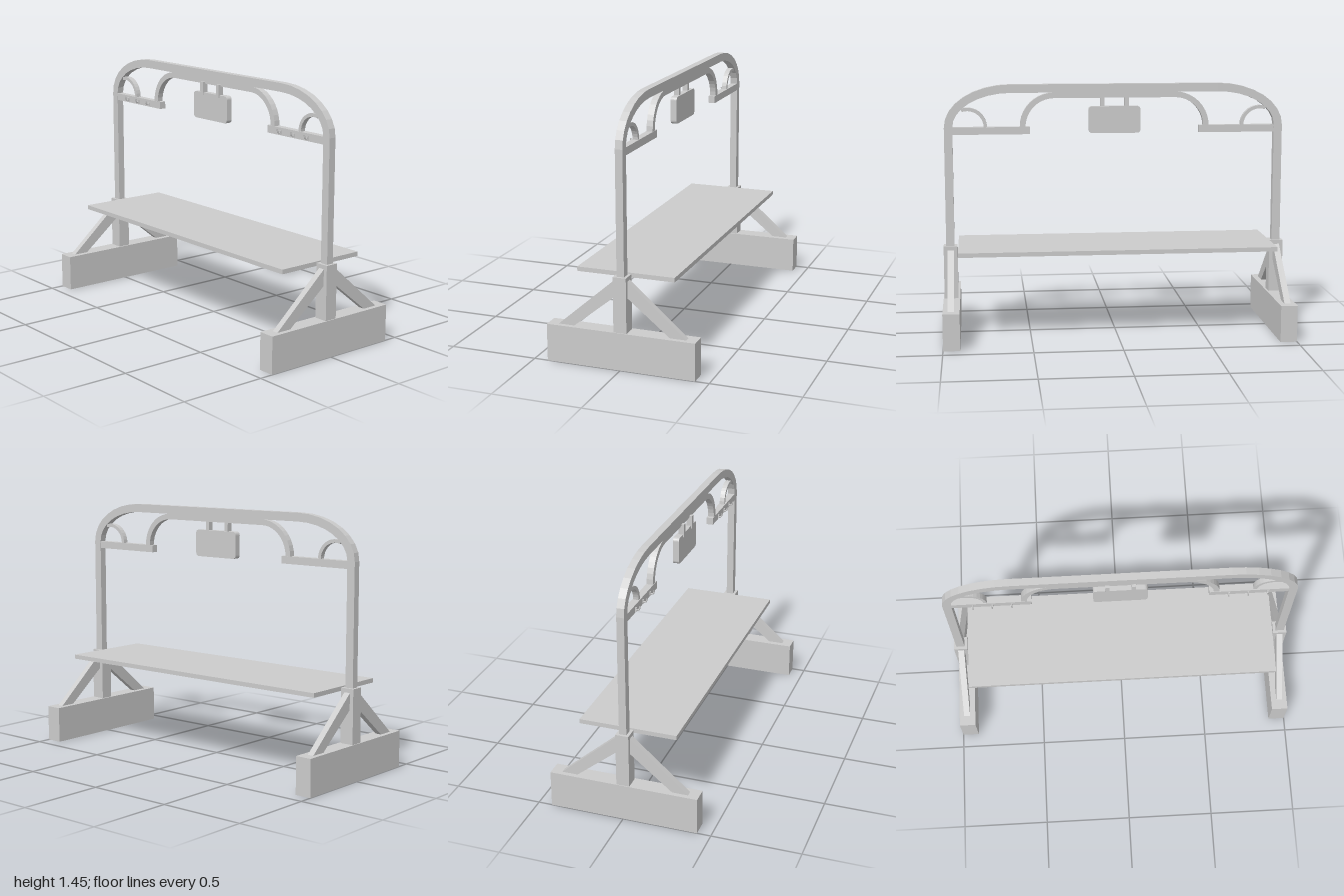
import * as THREE from 'three';

const mat = new THREE.MeshStandardMaterial({ color: 0xcccccc });
const matOpen = new THREE.MeshStandardMaterial({ color: 0xcccccc, side: THREE.DoubleSide });

export function createModel() {
  const model = new THREE.Group();

  const add = (name, geometry, material = mat) => {
    const mesh = new THREE.Mesh(geometry, material);
    mesh.name = name;
    model.add(mesh);
    return mesh;
  };

  // box given by its limits on each axis
  const box = (x0, x1, y0, y1, z0, z1) =>
    new THREE.BoxGeometry(x1 - x0, y1 - y0, z1 - z0)
      .translate((x0 + x1) / 2, (y0 + y1) / 2, (z0 + z1) / 2);

  // flat outline with thickness, centred on its plane
  const slab = (shape, depth, curveSegments = 4) =>
    new THREE.ExtrudeGeometry(shape, { depth, bevelEnabled: false, curveSegments })
      .translate(0, 0, -depth / 2);

  // curved strip between two radii; side mirrors it across x
  const arcStrip = (side, cx, cy, rOut, rIn, a0, a1, steps = 10) => {
    const outer = [], inner = [];
    for (let i = 0; i <= steps; i++) {
      const a = a0 + (a1 - a0) * i / steps;
      const at = (r) => new THREE.Vector2(side * (cx + r * Math.cos(a)), cy + r * Math.sin(a));
      outer.push(at(rOut));
      inner.unshift(at(rIn));
    }
    return new THREE.Shape([...outer, ...inner]);
  };

  // table top
  add('tableTop', box(-0.91, 0.91, 0.497, 0.522, -0.277, 0.277));

  // overhead frame: two uprights joined by a top rail with elliptical corners
  const frame = new THREE.Shape();
  frame.moveTo(0.98, 0.515);
  frame.lineTo(0.98, 1.2);
  frame.absellipse(0.6, 1.2, 0.38, 0.245, 0, Math.PI / 2, false);
  frame.lineTo(-0.6, 1.445);
  frame.absellipse(-0.6, 1.2, 0.38, 0.245, Math.PI / 2, Math.PI, false);
  frame.lineTo(-0.98, 0.515);
  frame.lineTo(-0.932, 0.515);
  frame.lineTo(-0.932, 1.2);
  frame.absellipse(-0.6, 1.2, 0.332, 0.197, Math.PI, Math.PI / 2, true);
  frame.lineTo(0.6, 1.397);
  frame.absellipse(0.6, 1.2, 0.332, 0.197, Math.PI / 2, 0, true);
  frame.lineTo(0.932, 0.515);
  add('overheadFrame', slab(frame, 0.042));

  // second rail under the top rail
  add('lowerRail', box(-0.35, 0.35, 1.365, 1.398, -0.018, 0.018));

  // hanging board with rounded corners
  const [w, y0, y1, r] = [0.15, 1.16, 1.315, 0.02];
  const board = new THREE.Shape();
  board.absarc(w - r, y0 + r, r, -Math.PI / 2, 0);
  board.absarc(w - r, y1 - r, r, 0, Math.PI / 2);
  board.absarc(-w + r, y1 - r, r, Math.PI / 2, Math.PI);
  board.absarc(-w + r, y0 + r, r, Math.PI, Math.PI * 1.5);
  add('hangingBoard', slab(board, 0.036, 3)).position.z = 0.009;

  // brace outline in the z-y plane
  const brace = new THREE.Shape([
    new THREE.Vector2(0.365, 0.208), new THREE.Vector2(0.275, 0.208),
    new THREE.Vector2(0.03, 0.406), new THREE.Vector2(0.03, 0.5),
  ]);

  // small upturned hook
  const hookPath = new THREE.CatmullRomCurve3([
    new THREE.Vector3(0, 1.178, 0.02), new THREE.Vector3(0, 1.174, 0.033),
    new THREE.Vector3(0, 1.18, 0.041), new THREE.Vector3(0, 1.198, 0.045),
  ]);
  const hook = new THREE.TubeGeometry(hookPath, 8, 0.004, 6);

  for (const side of [1, -1]) {
    const label = side > 0 ? 'left' : 'right';
    const x = side * 0.955;

    // hollow base beam, open underneath
    const base = box(-0.0475, 0.0475, 0, 0.21, -0.422, 0.422);
    const index = Array.from(base.index.array);
    index.splice(18, 6);
    base.setIndex(index);
    base.clearGroups();
    add(label + 'Base', base, matOpen).position.x = side * 0.9525;

    // post and its two diagonal braces
    add(label + 'Post', box(-0.04, 0.04, 0.208, 0.517, -0.037, 0.037)).position.x = x;
    for (const end of [1, -1]) {
      const mesh = add(label + (end > 0 ? 'FrontBrace' : 'BackBrace'),
        slab(brace, 0.036).rotateY(-end * Math.PI / 2));
      mesh.position.x = x;
    }

    // bar with its large and small arches
    add(label + 'HookBar', box(-0.223, 0.223, 1.16, 1.202, -0.02, 0.02)).position.x = side * 0.713;
    add(label + 'LargeArch', slab(arcStrip(side, 0.35, 1.2, 0.197, 0.165, 0, Math.PI / 2), 0.036));
    add(label + 'SmallArch', slab(arcStrip(side, 0.848, 1.2, 0.114, 0.095, Math.PI * 0.4, Math.PI), 0.03));

    // hooks with their backplates
    for (const hx of [0.599, 0.706, 0.813]) {
      add(label + 'Hook', hook).position.x = side * hx;
      add(label + 'HookPlate', box(-0.005, 0.005, 1.164, 1.188, 0.019, 0.026)).position.x = side * hx;
    }

    // board hanger
    add(label + 'BoardHanger', box(-0.012, 0.012, 1.3, 1.375, 0, 0.033)).position.x = side * 0.071;
  }

  return model;
}
